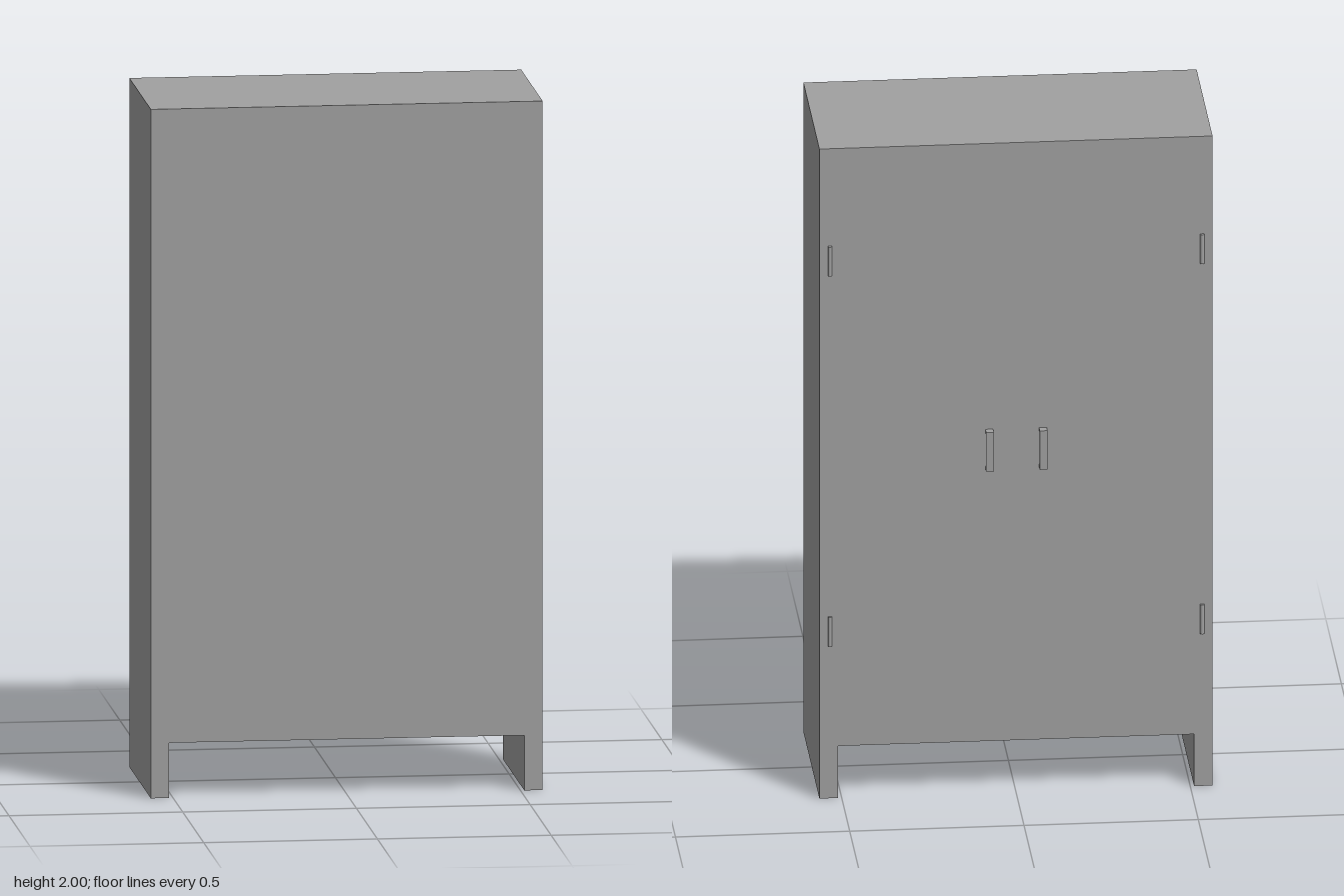
import * as THREE from 'three';

const W = 0.564, ZB = -0.243, ZF = 0.269; // half width, door-side and plain-side faces
const T = 0.053, BASE = 0.16, H = 2;      // side thickness, underside and total height
const DX = 0.535, DY0 = 0.205, DY1 = 1.96; // door opening
const FRAME = 0.02;                       // depth of the door frame

export function createModel() {
  const model = new THREE.Group();
  const mat = new THREE.MeshStandardMaterial({ color: 0xa0a0a0 });

  const add = (name, geometry) => {
    const mesh = new THREE.Mesh(geometry, mat);
    mesh.name = name;
    model.add(mesh);
    return mesh;
  };
  // box given by its limits
  const box = (name, x0, x1, y0, y1, z0, z1) =>
    add(name, new THREE.BoxGeometry(x1 - x0, y1 - y0, z1 - z0))
      .position.set((x0 + x1) / 2, (y0 + y1) / 2, (z0 + z1) / 2);

  // carcass
  const zi = ZB + FRAME, xi = W - T;
  box('leftSide', xi, W, 0, H, zi, ZF);
  box('rightSide', -W, -xi, 0, H, zi, ZF);
  box('topPanel', -xi, xi, DY1, H, zi, ZF);
  box('bottomPanel', -xi, xi, BASE, DY0, zi, ZF);
  box('plainPanel', -xi, xi, DY0, DY1, ZF - 0.03, ZF);

  // door frame with legs and a rectangular opening
  const pts = (list) => list.map(([x, y]) => new THREE.Vector2(x, y));
  const outline = new THREE.Shape(pts([
    [-W, 0], [-xi, 0], [-xi, BASE], [xi, BASE], [xi, 0], [W, 0], [W, H], [-W, H],
  ]));
  outline.holes.push(new THREE.Path(pts([[-DX, DY0], [-DX, DY1], [DX, DY1], [DX, DY0]])));
  add('doorFrame', new THREE.ExtrudeGeometry(outline, { depth: FRAME, bevelEnabled: false }))
    .position.z = ZB;

  // C-shaped pull handle profile, drawn in depth (x) and height (y)
  const d = 0.026, h = 0.12, t = 0.007, w = 0.022;
  const strap = new THREE.Shape(pts([
    [0, 0], [d, 0], [d, h], [0, h], [0, h - t], [d - t, h - t], [d - t, t], [0, t],
  ]));
  const handleGeo = new THREE.ExtrudeGeometry(strap, { depth: w, bevelEnabled: false });
  handleGeo.translate(0, 0, -w / 2).rotateY(Math.PI / 2); // depth now runs to -z

  for (const [side, s] of [['left', 1], ['right', -1]]) {
    box(side + 'Door', s > 0 ? 0 : -DX, s > 0 ? DX : 0, DY0, DY1, ZB, zi);
    add(side + 'Handle', handleGeo).position.set(s * 0.077, 1, ZB);
    // hinge barrels
    for (const [level, y] of [['Lower', 0.515], ['Upper', 1.655]]) {
      add(side + level + 'Hinge', new THREE.CylinderGeometry(0.006, 0.006, 0.09, 16))
        .position.set(s * 0.534, y, ZB - 0.003);
    }
  }
  return model;
}
